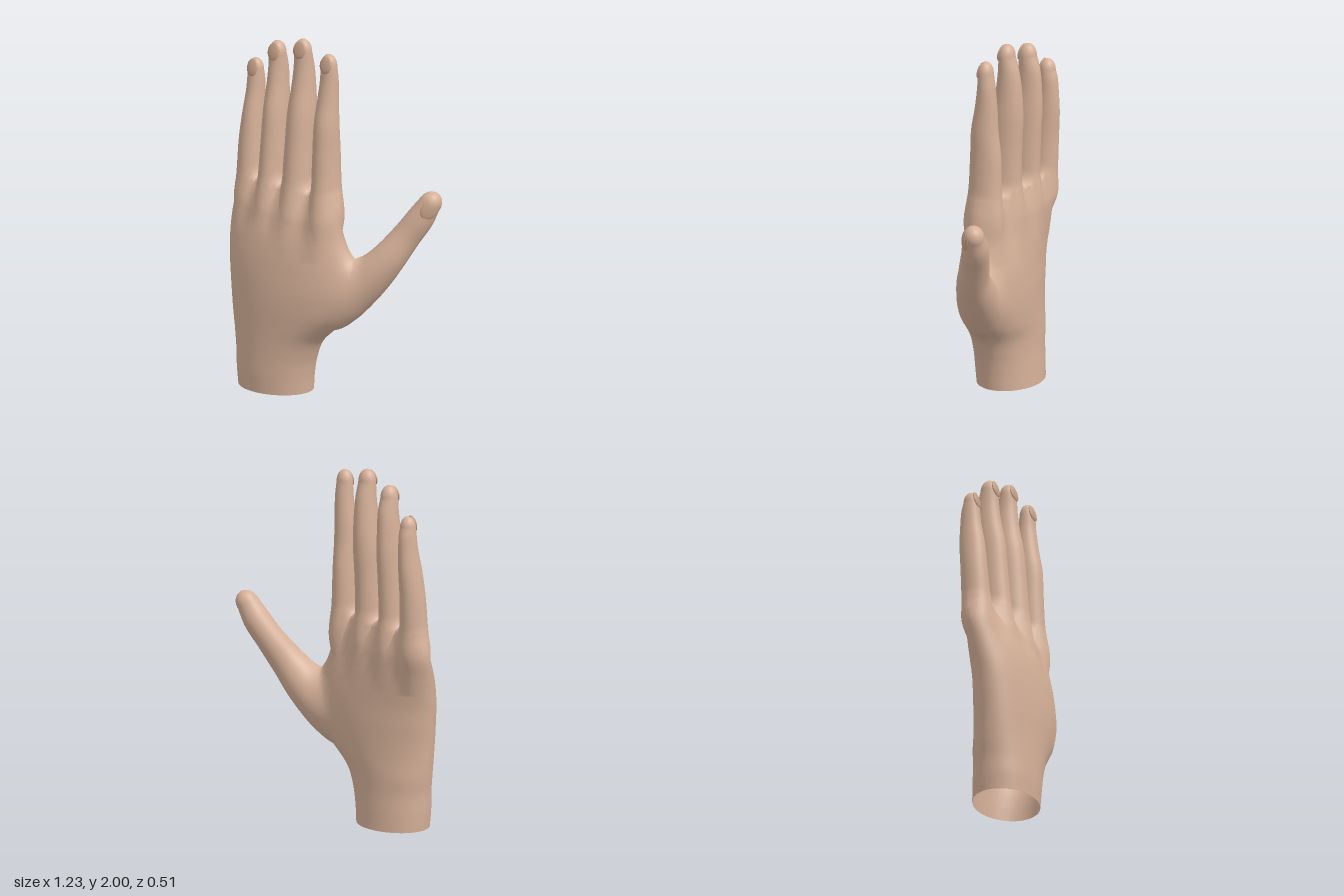
import * as THREE from 'three';

const SIDES = 48, STEPS = 10, FILLET = 0.09;

// Loft through stations [y, xLeft, xRight, zFront, zBack, tilt] with smooth curves between them.
// The bottom stays open; dome rounds off the top.
function loft(stations, dome) {
  const last = stations.length - 1, top = stations[last], rows = [];
  const slope = (i, k) => {
    const a = stations[Math.max(0, i - 1)], b = stations[Math.min(last, i + 1)];
    return (b[k] - a[k]) / (b[0] - a[0]);
  };
  for (let i = 0; i < last; i++) {
    const a = stations[i], b = stations[i + 1], h = b[0] - a[0];
    for (let s = 0; s < STEPS; s++) {
      const t = s / STEPS, u = 1 - t;
      rows.push(a.map((v, k) => k === 0 ? v + h * t
        : u * u * (1 + 2 * t) * v + t * t * (3 - 2 * t) * b[k] + h * t * u * (u * slope(i, k) - t * slope(i + 1, k))));
    }
  }
  const [y0, x0, x1, z0, z1, tilt0 = 0] = top, cx = (x0 + x1) / 2, cz = (z0 + z1) / 2;
  for (let j = 0; j <= 10; j++) {
    const a = (j / 10) * Math.PI / 2, k = Math.max(Math.cos(a), 0.001);
    rows.push([y0 + dome * Math.sin(a), cx + (x0 - cx) * k, cx + (x1 - cx) * k,
      cz + (z0 - cz) * k, cz + (z1 - cz) * k, tilt0 * k]);
  }

  const pos = [], index = [];
  rows.forEach(([y, xl, xr, zf, zb, tilt = 0], r) => {
    for (let i = 0; i < SIDES; i++) {
      const a = (i / SIDES) * Math.PI * 2, c = Math.cos(a), s = Math.sin(a);
      pos.push((xl + xr) / 2 + c * (xr - xl) / 2, y, (zf + zb) / 2 + s * (zf - zb) / 2 + tilt * c);
      if (r === rows.length - 1) continue;
      const p = r * SIDES + i, q = r * SIDES + (i + 1) % SIDES;
      index.push(p, p + SIDES, q, q, p + SIDES, q + SIDES);
    }
  });
  const g = new THREE.BufferGeometry();
  g.setAttribute('position', new THREE.Float32BufferAttribute(pos, 3));
  g.setIndex(index);
  g.computeVertexNormals();
  return g;
}

// Fillet a surface where it meets the others: swell the skin near the joint and share its normals
function fillet(geometry, others) {
  const P = geometry.attributes.position, N = geometry.attributes.normal;
  const p = new THREE.Vector3(), n = new THREE.Vector3(), v = new THREE.Vector3(), m = new THREE.Vector3();
  const boxes = others.map((o) => new THREE.Box3().setFromBufferAttribute(o.attributes.position).expandByScalar(FILLET));
  for (let i = 0; i < P.count; i++) {
    p.fromBufferAttribute(P, i);
    n.fromBufferAttribute(N, i);
    const moved = p.clone(), normal = n.clone();
    others.forEach((o, k) => {
      if (!boxes[k].containsPoint(p)) return;
      const a = o.attributes.position.array;
      let best = Infinity, near = 0;
      for (let j = 0; j < a.length; j += 3) {
        const d = (a[j] - p.x) ** 2 + (a[j + 1] - p.y) ** 2 + (a[j + 2] - p.z) ** 2;
        if (d < best) { best = d; near = j / 3; }
      }
      v.fromBufferAttribute(o.attributes.position, near);
      m.fromBufferAttribute(o.attributes.normal, near);
      const d = p.clone().sub(v).dot(m);
      if (Math.abs(d) > FILLET || best > 2 * FILLET * FILLET) return;
      const w = 1 - Math.abs(d) / FILLET, t = 0.5 * (1 - d / FILLET);
      const push = FILLET / 4 * w * w * Math.min(1, 1 - n.dot(m));
      moved.addScaledVector(n.clone().lerp(m, t).normalize(), push);
      normal.lerp(m, t);
    });
    normal.normalize();
    P.setXYZ(i, moved.x, moved.y, moved.z);
    N.setXYZ(i, normal.x, normal.y, normal.z);
  }
}

export function createModel() {
  // The wrist is an open sleeve, so its inside shows too
  const skin = new THREE.MeshStandardMaterial({ color: 0xd6b199, side: THREE.DoubleSide });
  skin.name = 'skin';
  const nailSkin = new THREE.MeshStandardMaterial({ color: 0xc6a188 });
  nailSkin.name = 'nail';
  const hand = new THREE.Group();
  hand.name = 'hand';

  function add(parent, name, geometry, material = skin) {
    const m = new THREE.Mesh(geometry, material);
    m.name = name;
    parent.add(m);
    return m;
  }

  // Shallow nail, mostly sunk into the front of a tip
  function addNail(parent, name, x, y, z, w, h) {
    const nail = add(parent, name, new THREE.SphereGeometry(1, 24, 16), nailSkin);
    nail.scale.set(w, h, 0.012);
    nail.position.set(x, y, z);
    nail.rotation.x = -0.24;
  }

  // Wrist, thumb mound, palm and knuckles
  const palm = loft([
    [0, -0.525, -0.08, 0.245, -0.108, 0],
    [0.1, -0.533, -0.068, 0.25, -0.105, 0],
    [0.2, -0.537, -0.045, 0.25, -0.102, 0],
    [0.3, -0.55, 0.0, 0.25, -0.104, 0],
    [0.4, -0.56, 0.09, 0.25, -0.11, -0.01],
    [0.5, -0.57, 0.16, 0.25, -0.115, -0.015],
    [0.6, -0.582, 0.2, 0.246, -0.117, -0.015],
    [0.7, -0.593, 0.21, 0.236, -0.114, -0.015],
    [0.8, -0.605, 0.185, 0.222, -0.108, -0.005],
    [0.9, -0.614, 0.145, 0.198, -0.098, 0.01],
    [1.0, -0.615, 0.112, 0.155, -0.08, 0.025],
    [1.07, -0.592, 0.09, 0.11, -0.055, 0.025],
    [1.12, -0.56, 0.06, 0.08, -0.033, 0.025],
  ], 0.025);

  // Fingers, each rising from inside the palm
  const fingers = {
    index: [
      [0.88, -0.02, 0.085, 0.15, -0.04], [1.02, -0.045, 0.112, 0.163, -0.066],
      [1.2, -0.052, 0.097, 0.14, -0.055], [1.4, -0.048, 0.09, 0.13, -0.05],
      [1.55, -0.042, 0.09, 0.122, -0.035], [1.68, -0.032, 0.085, 0.098, -0.03],
      [1.8, -0.02, 0.084, 0.08, -0.022], [1.885, -0.015, 0.08, 0.075, -0.01]],
    middle: [
      [0.88, -0.22, -0.12, 0.15, -0.05], [1.02, -0.25, -0.09, 0.162, -0.078],
      [1.2, -0.255, -0.09, 0.14, -0.065], [1.4, -0.248, -0.092, 0.122, -0.07],
      [1.58, -0.242, -0.092, 0.105, -0.08], [1.72, -0.228, -0.1, 0.078, -0.075],
      [1.84, -0.217, -0.106, 0.062, -0.06], [1.93, -0.212, -0.11, 0.057, -0.035]],
    ring: [
      [0.88, -0.41, -0.31, 0.13, -0.05], [1.02, -0.433, -0.28, 0.143, -0.083],
      [1.2, -0.43, -0.285, 0.12, -0.075], [1.4, -0.424, -0.287, 0.10, -0.082],
      [1.56, -0.418, -0.29, 0.085, -0.092], [1.7, -0.41, -0.297, 0.058, -0.09],
      [1.8, -0.403, -0.3, 0.045, -0.082], [1.88, -0.398, -0.303, 0.04, -0.06]],
    little: [
      [0.88, -0.57, -0.49, 0.07, -0.03], [1.02, -0.614, -0.46, 0.09, -0.078],
      [1.15, -0.606, -0.457, 0.08, -0.083], [1.35, -0.6, -0.466, 0.062, -0.09],
      [1.5, -0.586, -0.47, 0.045, -0.1], [1.62, -0.573, -0.473, 0.022, -0.098],
      [1.7, -0.568, -0.474, 0.012, -0.092], [1.75, -0.563, -0.477, 0.008, -0.08]],
  };
  const digits = {};
  for (const [name, st] of Object.entries(fingers)) {
    const [y, xl, xr, zf] = st[st.length - 1];
    digits[name + 'Finger'] = loft(st, name === 'little' ? 0.06 : 0.068);
    addNail(hand, name + 'Nail', (xl + xr) / 2, y + 0.012, zf - 0.011, (xr - xl) * 0.4, 0.05);
  }

  // Thumb, lofted along its own slanted axis
  const along = new THREE.Vector3(0.46, 0.71, -0.22).normalize();
  const side = along.clone().cross(new THREE.Vector3(0.6, -0.2, 0.75)).normalize();
  const frame = new THREE.Matrix4().makeBasis(side, along, side.clone().cross(along)).setPosition(0.12, 0.5, 0.02);
  digits.thumb = loft([
    [-0.2, -0.14, -0.06, 0.0, -0.06],
    [-0.1, -0.14, 0.05, 0.07, -0.09],
    [0, -0.14, 0.09, 0.1, -0.115],
    [0.1, -0.14, 0.108, 0.112, -0.122],
    [0.254, -0.115, 0.118, 0.116, -0.1],
    [0.406, -0.078, 0.113, 0.108, -0.07],
    [0.57, -0.052, 0.108, 0.08, -0.076],
    [0.7, -0.045, 0.106, 0.071, -0.077],
    [0.8, -0.04, 0.085, 0.058, -0.06],
  ], 0.072).applyMatrix4(frame);
  const thumbNail = new THREE.Group();
  thumbNail.name = 'thumbNailFrame';
  thumbNail.applyMatrix4(frame);
  addNail(thumbNail, 'thumbNail', 0.024, 0.79, 0.048, 0.048, 0.066);
  hand.add(thumbNail);

  // Merge the digits smoothly into the palm
  const plainPalm = palm.clone();
  fillet(palm, Object.values(digits));
  add(hand, 'palm', palm);
  for (const [name, geometry] of Object.entries(digits)) {
    fillet(geometry, [plainPalm]);
    add(hand, name, geometry);
  }
  return hand;
}
